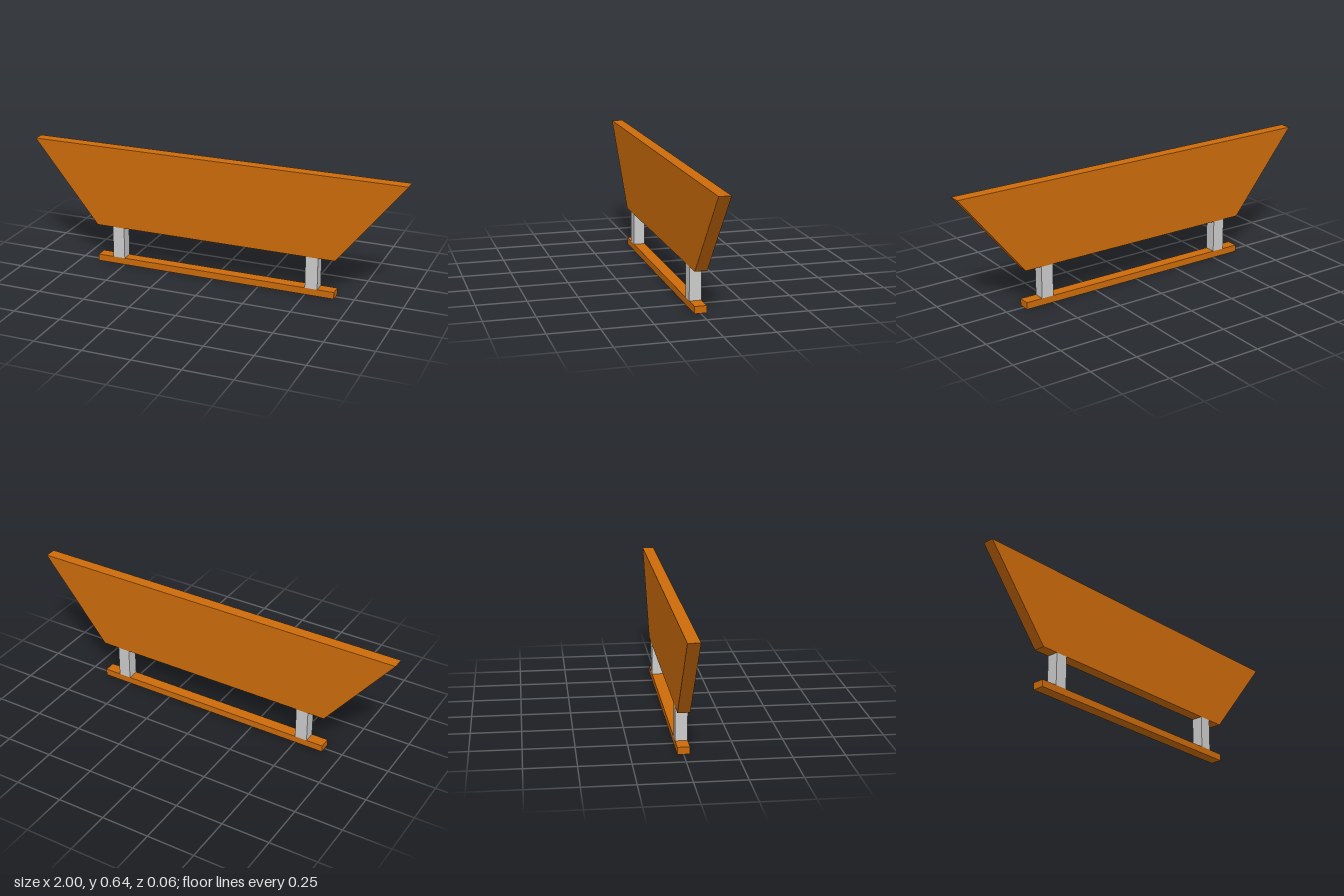
import * as THREE from 'three';

export function createModel() {
  const model = new THREE.Group();
  const orange = new THREE.MeshStandardMaterial({ color: 0xcc6b0a });
  orange.name = 'orange wood';
  const grey = new THREE.MeshStandardMaterial({ color: 0xcccccc });
  grey.name = 'light grey';
  const depth = 0.06, baseTop = 0.036, panelBottom = 0.205, panelTop = 0.64;

  const add = (name, geometry, material, x, y, z) => {
    const mesh = new THREE.Mesh(geometry, material);
    mesh.name = name;
    mesh.position.set(x, y, z);
    model.add(mesh);
  };

  // Trapezoid panel, wider at the top
  const outline = new THREE.Shape([
    new THREE.Vector2(-0.652, panelBottom),
    new THREE.Vector2(0.652, panelBottom),
    new THREE.Vector2(1, panelTop),
    new THREE.Vector2(-1, panelTop),
  ]);
  add('panel', new THREE.ExtrudeGeometry(outline, { depth, bevelEnabled: false }), orange, 0, 0, -depth / 2);

  // Base rail
  add('baseRail', new THREE.BoxGeometry(1.304, baseTop, depth), orange, 0, baseTop / 2, 0);

  // Two posts between rail and panel
  const postHeight = panelBottom - baseTop;
  for (const [name, side] of [['leftPost', 1], ['rightPost', -1]]) {
    add(name, new THREE.BoxGeometry(0.065, postHeight, depth), grey, side * 0.532, baseTop + postHeight / 2, 0);
  }
  return model;
}
